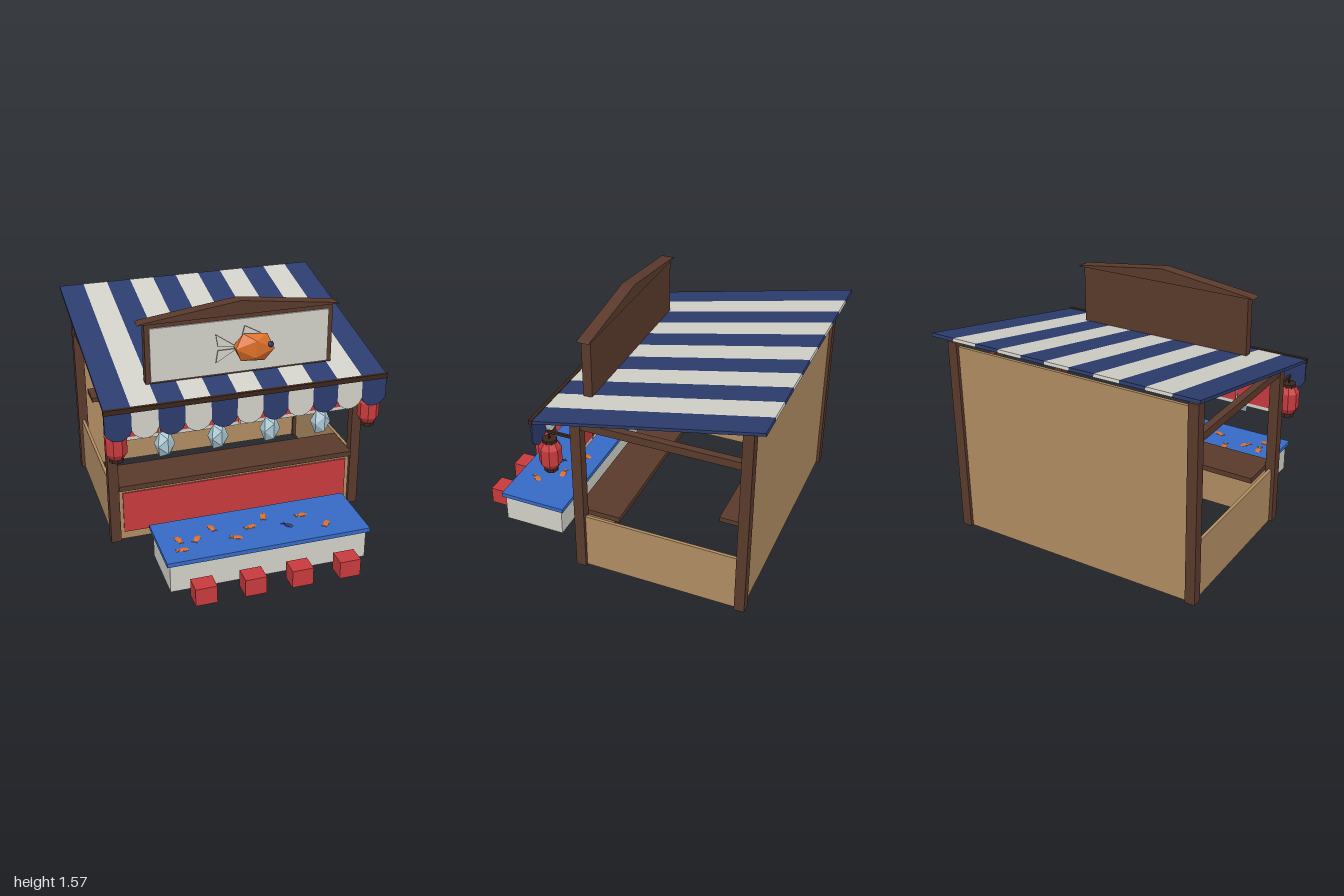
import * as THREE from 'three';

const paint = (name, color) => {
  const m = new THREE.MeshStandardMaterial({ color, flatShading: true, side: THREE.DoubleSide });
  m.name = name;
  return m;
};

export function createModel() {
  const navy = paint('navy cloth', 0x2c3c6e), white = paint('off white', 0xd2d1c9);
  const brown = paint('brown wood', 0x5a3a2c), dark = paint('dark wood', 0x3c261c);
  const tan = paint('tan wood', 0xb18d63), red = paint('red', 0xc83a3d);
  const blue = paint('water blue', 0x366ac6), orange = paint('orange', 0xdc702a);
  const glass = paint('pale blue', 0xaccad6);
  const root = new THREE.Group();

  const add = (name, geo, mat, x = 0, y = 0, z = 0, parent = root) => {
    const m = new THREE.Mesh(geo, mat);
    m.name = name;
    m.position.set(x, y, z);
    parent.add(m);
    return m;
  };
  // Box given by its extents
  const box = (name, mat, x0, x1, y0, y1, z0, z1) => add(name,
    new THREE.BoxGeometry(x1 - x0, y1 - y0, z1 - z0), mat, (x0 + x1) / 2, (y0 + y1) / 2, (z0 + z1) / 2);
  // Flat outline with a thickness
  const plate = (points, depth) => new THREE.ExtrudeGeometry(
    new THREE.Shape(points.map(p => new THREE.Vector2(...p))), { depth, bevelEnabled: false });
  const group = (name, x, y, z) => {
    const g = new THREE.Group();
    g.name = name;
    g.position.set(x, y, z);
    root.add(g);
    return g;
  };

  // Frame, low side walls
  for (const s of [-1, 1]) {
    const side = (name, mat, a, b, ...r) => box(name, mat, Math.min(s * a, s * b), Math.max(s * a, s * b), ...r);
    side('frontPost', brown, 0.79, 0.855, 0, 1.09, 0.125, 0.19);
    side('backPost', brown, 0.79, 0.855, 0, 1.28, -0.925, -0.86);
    side('sideBeam', brown, 0.8, 0.845, 1.03, 1.08, -0.86, 0.125);
    side('sideWall', tan, 0.812, 0.832, 0, 0.38, -0.86, 0.125);
  }

  // Back wall with battens and shelf
  box('backWall', tan, -0.79, 0.79, 0, 1.25, -0.905, -0.885);
  for (let i = 0; i < 8; i++) {
    const x = (i - 3.5) * 0.176;
    box('batten', brown, x - 0.008, x + 0.008, 0.38, 1.24, -0.885, -0.868);
  }
  box('shelf', brown, -0.775, 0.775, 0.575, 0.605, -0.885, -0.72);

  // Counter
  box('counterFront', tan, -0.79, 0.79, 0, 0.37, 0.145, 0.165);
  box('counterPanel', red, -0.765, 0.765, 0.055, 0.34, 0.165, 0.174);
  box('counterTop', brown, -0.79, 0.79, 0.37, 0.405, -0.085, 0.2);

  // Striped awning and scalloped valance
  const n = 11, w = 1.805 / n, h = w / 2;
  const scallop = plate([[-h, 1.04], [-h, 0.905], [-h * 0.82, 0.875], [-h * 0.45, 0.853], [-h * 0.15, 0.845],
    [h * 0.15, 0.845], [h * 0.45, 0.853], [h * 0.82, 0.875], [h, 0.905], [h, 1.04]], 0.01);
  for (let i = 0; i < n; i++) {
    const mat = i % 2 ? white : navy, x = (i - 5) * w;
    const stripe = add('roofStripe', new THREE.BoxGeometry(w, 0.02, 1.455), mat, x, 1.19, -0.29);
    stripe.rotation.x = 0.207;
    add('valance', scallop, mat, x, 0, 0.413);
  }
  box('eaveBar', dark, -0.907, 0.907, 1.027, 1.058, 0.41, 0.432);

  // Sign board
  box('signBoard', brown, -0.6, 0.6, 1.1, 1.49, 0.165, 0.225);
  box('signPanel', white, -0.57, 0.57, 1.112, 1.457, 0.225, 0.235);
  add('signGable', plate([[-0.64, 1.483], [0.64, 1.483], [0.62, 1.492], [0, 1.572], [-0.62, 1.492]], 0.08),
    brown, 0, 0, 0.153);

  // Fish on the sign
  const fish = group('signFish', 0.065, 1.285, 0.285);
  const body = add('fishBody', new THREE.IcosahedronGeometry(1), orange, 0, 0, 0, fish);
  body.scale.set(0.146, 0.104, 0.056);
  body.rotation.z = -0.08;
  const eye = add('fishEye', new THREE.IcosahedronGeometry(0.022), navy, 0.098, 0.02, 0.033, fish);
  eye.scale.z = 0.6;
  const fins = [[[-0.1, 0.005], [-0.235, 0.1], [-0.222, 0.022]], [[-0.1, -0.005], [-0.222, -0.005], [-0.235, -0.085]],
    [[-0.07, 0.065], [0.05, 0.08], [-0.052, 0.137]]];
  for (const f of fins) add('fishFin', plate(f, 0.009), white, 0, 0, -0.028, fish);

  // Split curtain on its rod
  const rod = add('curtainRod', new THREE.CylinderGeometry(0.01, 0.01, 1.58, 8), dark, 0, 0.993, 0.215);
  rod.rotation.z = Math.PI / 2;
  for (let i = 0; i < 6; i++) {
    const x = (i - 2.5) * 0.262;
    box('curtain', red, x - 0.126, x + 0.126, 0.76, 0.99, 0.211, 0.219);
    box('curtainHem', white, x - 0.126, x + 0.126, 0.737, 0.76, 0.211, 0.219);
  }

  // Lanterns on brackets
  const shade = new THREE.LatheGeometry([[0.045, 0.7], [0.07, 0.74], [0.07, 0.845], [0.045, 0.885]]
    .map(p => new THREE.Vector2(...p)), 8);
  for (const x of [-0.825, 0.825]) {
    const g = group('lantern', x, 0, 0.345);
    add('lanternShade', shade, red, 0, 0, 0, g).rotation.y = Math.PI / 8;
    for (const y of [0.69, 0.89]) add('lanternCap', new THREE.CylinderGeometry(0.045, 0.045, 0.025, 8), dark, 0, y, 0, g);
    add('lanternCord', new THREE.BoxGeometry(0.008, 0.06, 0.008), dark, 0, 0.925, 0, g);
    add('lanternBracket', new THREE.BoxGeometry(0.016, 0.016, 0.165), dark, 0, 0.95, -0.075, g);
  }

  // Hanging water bags
  for (const x of [-0.515, -0.172, 0.17, 0.512]) {
    const bag = add('waterBag', new THREE.IcosahedronGeometry(1), glass, x, 0.727, 0.305);
    bag.scale.set(0.066, 0.098, 0.062);
    bag.rotation.y = 0.2;
    add('bagCord', new THREE.BoxGeometry(0.008, 0.14, 0.008), dark, x, 0.87, 0.305);
  }

  // Water tank with small fish [x, z, heading]
  box('tank', white, -0.63, 0.63, 0, 0.187, 0.41, 0.82);
  box('tankWater', blue, -0.65, 0.65, 0.187, 0.215, 0.39, 0.838);
  const swimmers = [[-0.52, 0.61, 1.75], [-0.41, 0.63, 0.95], [-0.29, 0.54, 1.8], [-0.525, 0.72, 0], [-0.175, 0.685, -0.4],
    [-0.055, 0.6, 0.3], [0.06, 0.51, 1.3], [0.295, 0.565, 0.05], [0.41, 0.705, 0.9], [0.175, 0.65, -0.9]];
  swimmers.forEach(([x, z, a], i) => {
    const g = group('smallFish', x, 0.215, z), mat = i === 9 ? navy : orange;
    g.rotation.y = a;
    add('smallBody', new THREE.IcosahedronGeometry(1), mat, 0.008, 0, 0, g).scale.set(0.036, 0.007, 0.023);
    const tail = add('smallTail', plate([[-0.015, 0], [-0.042, 0.018], [-0.036, 0], [-0.042, -0.018]], 0.004), mat, 0, 0, 0, g);
    tail.rotation.x = -Math.PI / 2;
  });

  // Stools
  for (const x of [-0.458, -0.151, 0.146, 0.454]) box('stool', red, x - 0.067, x + 0.067, 0, 0.115, 0.885, 1);

  return root;
}
